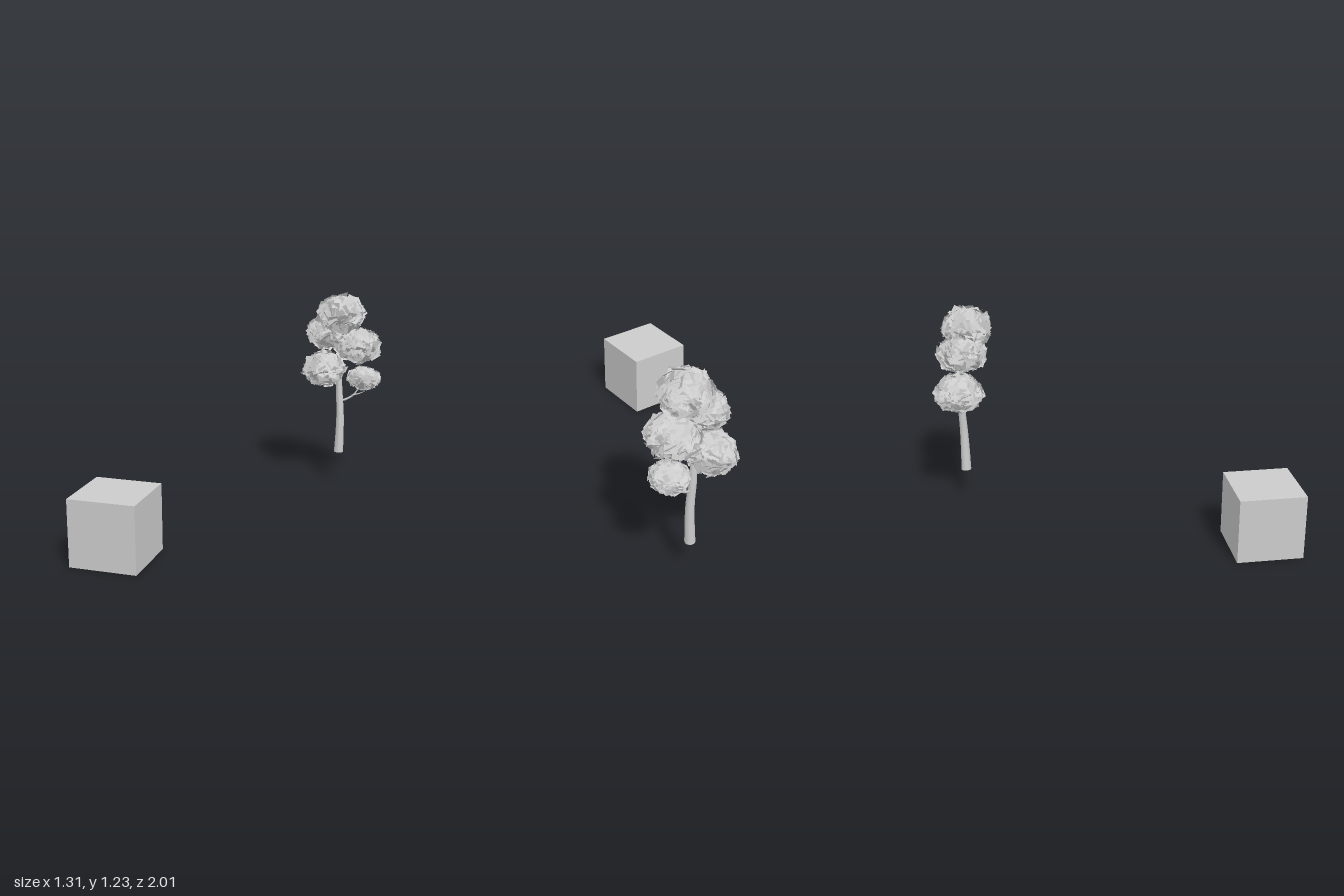
import * as THREE from 'three';
import { mergeGeometries } from 'three/addons/utils/BufferGeometryUtils.js';

const bark = new THREE.MeshStandardMaterial({ color: 0xcccccc });
const leaf = new THREE.MeshStandardMaterial({ color: 0xcccccc, side: THREE.DoubleSide });

// Small seeded generator, 0..1
function seeded(seed) {
  let s = seed;
  return () => (s = (s * 16807) % 2147483647) / 2147483647;
}

// Tube along points [x, y, z, radius], tapering smoothly and capped at the start
function taperedLimb(name, points, sides, steps) {
  const curve = new THREE.CatmullRomCurve3(points.map(p => new THREE.Vector3(p[0], p[1], p[2])));
  const geo = new THREE.TubeGeometry(curve, steps, 1, sides);
  const pos = geo.attributes.position;
  const v = new THREE.Vector3();
  for (let i = 0; i <= steps; i++) {
    const centre = curve.getPointAt(i / steps);
    const t = curve.getUtoTmapping(i / steps) * (points.length - 1);
    const k = Math.min(Math.floor(t), points.length - 2);
    const r = THREE.MathUtils.lerp(points[k][3], points[k + 1][3], t - k);
    for (let j = 0; j <= sides; j++) {
      const n = i * (sides + 1) + j;
      v.fromBufferAttribute(pos, n).sub(centre).multiplyScalar(r).add(centre);
      pos.setXYZ(n, v.x, v.y, v.z);
    }
  }
  geo.computeVertexNormals();
  const mesh = new THREE.Mesh(geo, bark);
  mesh.name = name;
  return mesh;
}

// Shell of overlapping square leaf cards around an ellipsoid
function leafCluster(name, centre, radii, count, size, seed) {
  const rand = seeded(seed);
  const jitter = a => (rand() - 0.5) * a;
  const cards = [];
  const dir = new THREE.Vector3();
  const holder = new THREE.Object3D();
  for (let i = 0; i < count; i++) {
    const y = 1 - 2 * (i + 0.5) / count;
    const ring = Math.sqrt(1 - y * y);
    const a = i * Math.PI * (3 - Math.sqrt(5));
    dir.set(Math.cos(a) * ring, y, Math.sin(a) * ring);
    const depth = 0.84 + rand() * 0.1;
    holder.position.set(
      centre[0] + dir.x * radii[0] * depth,
      centre[1] + dir.y * radii[1] * depth,
      centre[2] + dir.z * radii[2] * depth);
    holder.lookAt(
      holder.position.x + dir.x / radii[0] * 0.1 + jitter(0.9),
      holder.position.y + dir.y / radii[1] * 0.1 + jitter(0.9),
      holder.position.z + dir.z / radii[2] * 0.1 + jitter(0.9));
    holder.rotateZ(rand() * Math.PI);
    holder.updateMatrix();
    const s = size * (0.75 + rand() * 0.5);
    cards.push(new THREE.PlaneGeometry(s, s).applyMatrix4(holder.matrix));
  }
  const mesh = new THREE.Mesh(mergeGeometries(cards), leaf);
  mesh.name = name;
  return mesh;
}

export function createModel() {
  const model = new THREE.Group();
  model.name = 'treeAndCube';

  // Plain cube
  const cube = new THREE.Mesh(new THREE.BoxGeometry(0.38, 0.38, 0.38), bark);
  cube.name = 'cube';
  cube.position.set(-0.465, 0.19, 0.81);
  model.add(cube);

  const tree = new THREE.Group();
  tree.name = 'tree';
  model.add(tree);

  // Trunk, gently bent, with its flat base
  tree.add(taperedLimb('trunk', [
    [0.39, 0.195, -0.83, 0.03], [0.394, 0.32, -0.83, 0.027], [0.394, 0.45, -0.832, 0.024],
    [0.384, 0.6, -0.838, 0.021], [0.381, 0.72, -0.835, 0.016], [0.38, 0.85, -0.825, 0.012],
    [0.39, 1.05, -0.8, 0.006]], 16, 32));
  const base = new THREE.Mesh(new THREE.CircleGeometry(0.03, 16), bark);
  base.name = 'trunkBase';
  base.rotation.x = Math.PI / 2;
  base.position.set(0.39, 0.195, -0.83);
  tree.add(base);

  // Thin branches reaching into the leaf clusters
  const branches = [
    [[0.39, 0.53, -0.835, 0.008], [0.44, 0.55, -0.845, 0.007], [0.48, 0.58, -0.85, 0.006], [0.52, 0.65, -0.85, 0.003]],
    [[0.465, 0.572, -0.848, 0.005], [0.51, 0.587, -0.84, 0.004], [0.55, 0.607, -0.835, 0.002]],
    [[0.384, 0.62, -0.838, 0.008], [0.34, 0.66, -0.845, 0.006], [0.28, 0.73, -0.85, 0.003]],
    [[0.38, 0.8, -0.828, 0.007], [0.43, 0.85, -0.825, 0.005], [0.5, 0.9, -0.82, 0.003]],
    [[0.38, 0.85, -0.825, 0.007], [0.35, 0.92, -0.82, 0.005], [0.31, 0.98, -0.81, 0.003]],
  ];
  branches.forEach((b, i) => tree.add(taperedLimb('branch' + (i + 1), b, 6, 10)));

  // Leaf clusters: name, centre, radii, card count, card size
  const clusters = [
    ['topLeaves', [0.395, 1.1, -0.785], [0.145, 0.12, 0.14], 300, 0.058],
    ['upperRightLeaves', [0.305, 0.98, -0.815], [0.125, 0.105, 0.13], 260, 0.052],
    ['upperLeftLeaves', [0.5, 0.905, -0.82], [0.14, 0.11, 0.15], 280, 0.055],
    ['lowerRightLeaves', [0.28, 0.735, -0.85], [0.135, 0.11, 0.14], 280, 0.052],
    ['lowerLeftLeaves', [0.54, 0.69, -0.85], [0.108, 0.075, 0.115], 220, 0.038],
  ];
  clusters.forEach((c, i) => tree.add(leafCluster(...c, 1234 + i * 7919)));

  return model;
}
